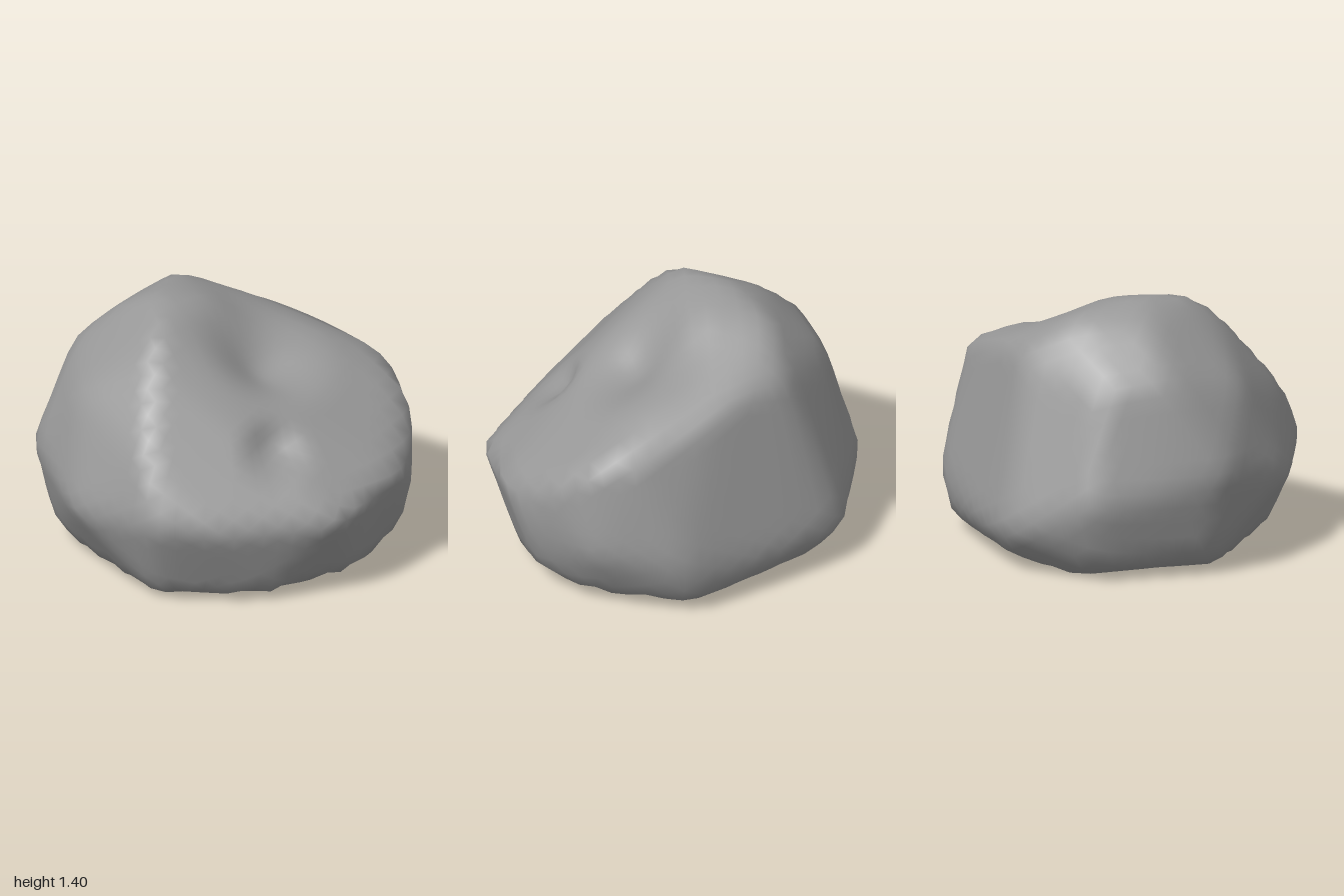
import * as THREE from 'three';
import { mergeVertices } from 'three/addons/utils/BufferGeometryUtils.js';
import { ConvexGeometry } from 'three/addons/geometries/ConvexGeometry.js';

const CORE = new THREE.Vector3(0, 0.6, 0);
const SHARPNESS = 90;
const vec = (p) => new THREE.Vector3(...p);

// Corners of the rough block, from the ground up
const corners = [
  // underside
  [-0.75, 0.02, 0.2], [-0.6, 0, -0.55], [0.35, 0.03, -0.72], [0.78, 0.06, -0.35],
  [0.78, 0.06, 0.25], [0.35, 0.05, 0.65], [-0.2, 0.04, 0.74],
  // lower edge
  [-0.9, 0.1, 0.1], [-0.8, 0.1, -0.5], [-0.35, 0.1, -0.84], [0.45, 0.1, -0.82], [0.94, 0.18, -0.1],
  // widest girth
  [-1.01, 0.6, 0.15], [-0.97, 0.5, -0.25], [-0.88, 0.45, -0.58], [-0.5, 0.26, -0.92], [-0.22, 0.25, -0.93],
  [0.52, 0.35, -0.85], [0.89, 0.4, -0.52], [1.01, 0.42, -0.05], [0.98, 0.6, 0.16], [0.75, 0.5, 0.6],
  [0.13, 0.5, 0.89], [-0.19, 0.52, 0.93], [-0.68, 0.45, 0.66],
  // shoulders
  [0.97, 0.74, -0.25], [0.88, 0.87, -0.4], [0.7, 0.97, -0.6], [0.2, 1.1, -0.7], [-0.25, 1.16, -0.72],
  [-0.75, 1.06, -0.45], [-0.85, 1.08, -0.1], [-0.72, 1, 0.35], [-0.25, 0.81, 0.8],
  // crown
  [-0.6, 1.32, -0.1], [-0.36, 1.43, -0.06], [-0.35, 1.37, -0.46], [-0.07, 1.37, -0.15],
  [-0.3, 1.39, 0.24], [-0.3, 1.26, 0.41],
].map(vec);

// Worn places: the hollow beside the crown and the notch in the front slope
const dents = [
  { at: vec([0.2, 1.16, -0.08]), reach: 0.45, depth: 0.13 },
  { at: vec([0.38, 0.8, 0.45]), reach: 0.22, depth: 0.08 },
];

// Facet planes of the block, as normals divided by their distance from the core
function facetPlanes() {
  const pos = new ConvexGeometry(corners).getAttribute('position');
  const planes = [];
  for (let i = 0; i < pos.count; i += 3) {
    const [a, b, c] = [0, 1, 2].map((k) => new THREE.Vector3().fromBufferAttribute(pos, i + k).sub(CORE));
    const normal = b.clone().sub(a).cross(c.sub(a)).normalize();
    planes.push(normal.divideScalar(normal.dot(a)));
  }
  return planes;
}

function boulderGeometry() {
  const planes = facetPlanes();
  const sphere = new THREE.IcosahedronGeometry(1, 11);
  sphere.deleteAttribute('normal');
  sphere.deleteAttribute('uv');
  const geometry = mergeVertices(sphere, 1e-4);
  const pos = geometry.getAttribute('position');
  const p = new THREE.Vector3();
  for (let i = 0; i < pos.count; i++) {
    const dir = new THREE.Vector3().fromBufferAttribute(pos, i).normalize();
    // distance to the facets, with softened edges
    let sum = 0;
    for (const plane of planes) sum += Math.max(0, plane.dot(dir)) ** SHARPNESS;
    const radius = sum ** (-1 / SHARPNESS);
    p.copy(CORE).addScaledVector(dir, radius);
    let worn = 0;
    for (const { at, reach, depth } of dents) {
      const t = Math.min(1, p.distanceTo(at) / reach);
      worn += depth * (1 - t * t) ** 2;
    }
    p.addScaledVector(dir, -worn);
    pos.setXYZ(i, p.x, p.y, p.z);
  }
  geometry.computeVertexNormals();
  return geometry;
}

export function createModel() {
  const group = new THREE.Group();
  group.name = 'rock';
  const boulder = new THREE.Mesh(boulderGeometry(), new THREE.MeshStandardMaterial({ color: 0x999999 }));
  boulder.name = 'boulder';
  group.add(boulder);
  return group;
}
